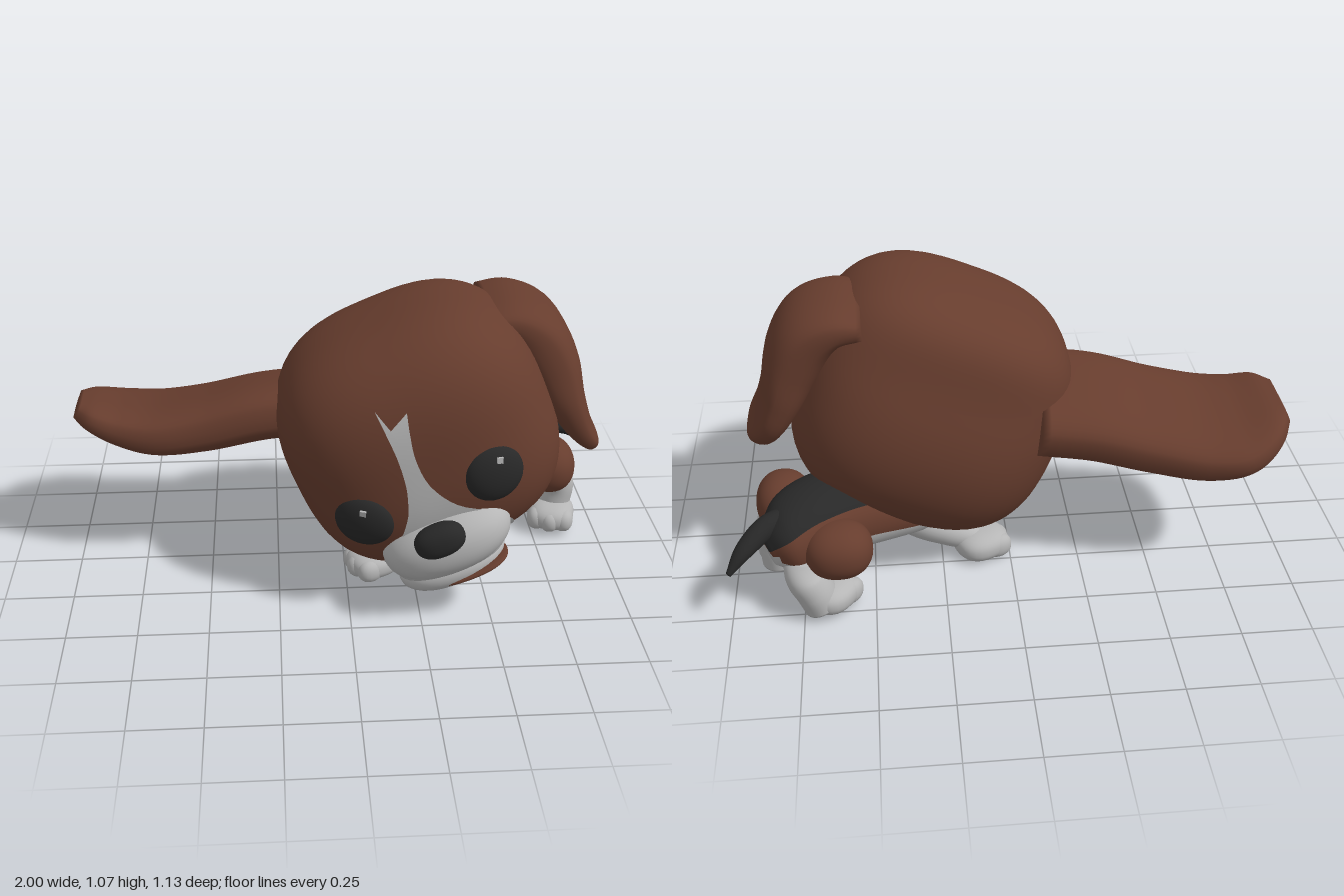
import * as THREE from 'three';
import { mergeVertices } from 'three/addons/utils/BufferGeometryUtils.js';

const paint = (name, color) => Object.assign(new THREE.MeshStandardMaterial({ color }), { name });

// Rounded blob: superellipsoid with half sizes a, b, c; floor flattens the underside
function blob(a, b, c, n = 2, floor = -Infinity, seg = 40) {
  let g = new THREE.SphereGeometry(1, seg, Math.round(seg * 0.7));
  g.deleteAttribute('uv');
  g.deleteAttribute('normal');
  const p = g.attributes.position;
  for (let i = 0; i < p.count; i++) {
    const x = p.getX(i), y = p.getY(i), z = p.getZ(i);
    const k = Math.pow(Math.abs(x) ** n + Math.abs(y) ** n + Math.abs(z) ** n, -1 / n);
    p.setXYZ(i, x * k * a, Math.max(y * k * b, floor), z * k * c);
  }
  g = mergeVertices(g, 1e-5);
  g.computeVertexNormals();
  return g;
}

// Skin over stations [x, y, z, halfWidth, halfThickness, tilt], width along side;
// pick() chooses a material per face
function loft(stations, side, n = 2, pick = () => 0, N = 40, M = 32) {
  const curve = k => new THREE.CatmullRomCurve3(
    stations.map(s => new THREE.Vector3(s[k], s[k + 1], s[k + 2] || 0)), false, 'catmullrom');
  const path = curve(0), size = curve(3);
  const pos = [], groups = [];
  const bend = v => Math.sign(v) * Math.abs(v) ** (2 / n);
  for (let i = 0; i <= N; i++) {
    const p = path.getPoint(i / N), q = size.getPoint(i / N), T = path.getTangent(i / N);
    const S = side.clone().normalize().applyAxisAngle(T, q.z);
    const U = new THREE.Vector3().crossVectors(T, S).normalize();
    for (let j = 0; j < M; j++) {
      const t = j / M * Math.PI * 2;
      const v = p.clone().addScaledVector(S, q.x * bend(Math.cos(t))).addScaledVector(U, q.y * bend(Math.sin(t)));
      pos.push(v.x, v.y, v.z);
    }
  }
  const first = pos.length / 3;
  pos.push(...stations[0].slice(0, 3), ...stations[stations.length - 1].slice(0, 3));
  const add = (u, j, ...tri) => {
    const m = pick(u, (j + 0.5) / M * Math.PI * 2);
    (groups[m] ||= []).push(...tri);
  };
  for (let j = 0; j < M; j++) {
    const k = (j + 1) % M;
    add(0, j, first, k, j);
    for (let i = 0; i < N; i++) {
      const a = i * M + j, b = i * M + k;
      add((i + 0.5) / N, j, a, b, a + M, b, b + M, a + M);
    }
    add(1, j, first + 1, N * M + j, N * M + k);
  }
  const g = new THREE.BufferGeometry();
  g.setAttribute('position', new THREE.Float32BufferAttribute(pos, 3));
  g.setIndex(groups.flat());
  let start = 0;
  groups.forEach((list, m) => { g.addGroup(start, list.length, m); start += list.length; });
  g.computeVertexNormals();
  return g;
}

export function createModel() {
  const brown = paint('brown fur', 0x673d2e), white = paint('white fur', 0xb6b6b6), black = paint('black fur', 0x282828);
  const root = new THREE.Group();
  root.name = 'puppy';
  const put = (name, geo, mat, parent = root, x = 0, y = 0, z = 0) => {
    const m = new THREE.Mesh(geo, mat);
    m.name = name;
    m.position.set(x, y, z);
    parent.add(m);
    return m;
  };
  const alongZ = new THREE.Vector3(0, 0, 1);

  // Tilted head, with the upper back drawn in
  const A = 0.485, B = 0.45, C = 0.437, P = 2.8, tilt = 0.4, cx = 0.265, cy = 0.58;
  const head = new THREE.Group();
  head.name = 'head';
  head.position.set(cx, cy, 0.025);
  head.rotation.z = tilt;
  root.add(head);
  const skull = blob(A, B, C, P, -Infinity, 64), sp = skull.attributes.position;
  for (let i = 0; i < sp.count; i++) {
    if (sp.getZ(i) < 0) sp.setZ(i, sp.getZ(i) * (1 - 0.12 * Math.exp(-(((sp.getY(i) - 0.22) / 0.18) ** 2))));
  }
  skull.computeVertexNormals();
  put('skull', skull, brown, head);

  // Front surface of the skull below an upright (x, y), in head space
  const onFace = (x, y) => {
    const dx = x - cx, dy = y - cy, c = Math.cos(tilt), s = Math.sin(tilt);
    const u = dx * c + dy * s, v = dy * c - dx * s;
    const w = Math.max(0.02, 1 - Math.abs(u / A) ** P - Math.abs(v / B) ** P);
    return new THREE.Vector3(u, v, C * w ** (1 / P));
  };

  // Blaze: rows of [y, left, right] laid on the face, with a notched top
  const rows = [[0.81, 0.08, 0.185], [0.74, 0.115, 0.195], [0.65, 0.155, 0.215], [0.55, 0.185, 0.265], [0.47, 0.195, 0.36],
    [0.42, 0.195, 0.5], [0.34, 0.18, 0.58], [0.26, 0.155, 0.57], [0.2, 0.135, 0.46], [0.14, 0.13, 0.34]];
  const rowCurve = new THREE.CatmullRomCurve3(rows.map(r => new THREE.Vector3(...r)));
  const R = 36, K = 12, pts = [], idx = [];
  for (let i = 0; i <= R; i++) {
    const r = rowCurve.getPoint(i / R);
    for (let j = 0; j <= K; j++) {
      const s = j / K;
      const notch = 0.06 * (1 - Math.abs(2 * s - 1)) * Math.max(0, 1 - i / 6);
      pts.push(...onFace(r.y + (r.z - r.y) * s, r.x - notch).multiplyScalar(1.008).toArray());
      if (i < R && j < K) {
        const a = i * (K + 1) + j, b = a + K + 1;
        idx.push(a, b, a + 1, a + 1, b, b + 1);
      }
    }
  }
  const blaze = new THREE.BufferGeometry();
  blaze.setAttribute('position', new THREE.Float32BufferAttribute(pts, 3));
  blaze.setIndex(idx);
  blaze.computeVertexNormals();
  put('blaze', blaze, white, head);

  // Eyes with small glints
  for (const [name, x, y] of [['rightEye', 0.045, 0.385], ['leftEye', 0.49, 0.575]]) {
    const p = onFace(x, y);
    const grad = new THREE.Vector3(
      Math.sign(p.x) * Math.abs(p.x / A) ** (P - 1) / A,
      Math.sign(p.y) * Math.abs(p.y / B) ** (P - 1) / B,
      (p.z / C) ** (P - 1) / C).normalize();
    const eye = new THREE.Group();
    eye.name = name;
    eye.position.copy(p).addScaledVector(grad, -0.018);
    eye.quaternion.setFromUnitVectors(alongZ, grad);
    head.add(eye);
    put('eyeball', blob(0.106, 0.106, 0.05), black, eye);
    put('glint', new THREE.BoxGeometry(0.022, 0.026, 0.008), white, eye, 0.028, 0.055, 0.039).rotation.z = -tilt;
  }

  // Muzzle, cheeks, jaw, mouth and nose
  const muzzle = new THREE.Group();
  muzzle.name = 'muzzle';
  muzzle.position.set(0.34, 0.3, 0.375);
  muzzle.rotation.z = tilt;
  root.add(muzzle);
  put('upperMuzzle', blob(0.235, 0.125, 0.155, 2.2), white, muzzle);
  put('cheeks', blob(0.22, 0.11, 0.155, 2.2), white, muzzle, -0.01, -0.055, -0.045);
  put('lowerJaw', blob(0.2, 0.068, 0.145, 2.2), white, muzzle, -0.02, -0.12, -0.04);
  put('mouth', blob(0.15, 0.017, 0.1, 2.4), brown, muzzle, 0.03, -0.14, 0.01);
  put('nose', blob(0.09, 0.06, 0.052, 2.3), black, muzzle, -0.013, 0.073, 0.135);

  // Ears: one flung out to the side, one folded over and hanging
  put('rightEar', loft([
    [-0.1, 0.6, -0.12, 0.24, 0.105, 0.22], [-0.3, 0.575, -0.13, 0.245, 0.105, 0.22], [-0.5, 0.525, -0.15, 0.25, 0.1, 0.2],
    [-0.68, 0.497, -0.175, 0.26, 0.09, 0.18], [-0.82, 0.51, -0.195, 0.245, 0.075, 0.18],
    [-0.93, 0.555, -0.18, 0.19, 0.055, 0.17], [-0.985, 0.58, -0.17, 0.11, 0.035, 0.15]], alongZ, 2.8), [brown]);
  put('leftEar', loft([
    [0.5, 0.97, -0.07, 0.2, 0.05], [0.6, 0.965, -0.07, 0.21, 0.075], [0.685, 0.91, -0.06, 0.22, 0.1],
    [0.745, 0.81, -0.05, 0.23, 0.1], [0.79, 0.69, -0.04, 0.24, 0.08], [0.845, 0.58, -0.035, 0.22, 0.058],
    [0.9, 0.505, -0.005, 0.15, 0.038], [0.927, 0.47, 0.02, 0.06, 0.015]], alongZ, 2.8), [brown]);

  // Body: white belly, brown flanks, black saddle
  const coat = (u, t) => {
    const s = Math.sin(t);
    if (s > (Math.cos(t) < 0 ? 0.25 : 0) || (u > 0.95 && s > -0.2)) return 1;
    return s < -0.5 && u > 0.45 ? 2 : 0;
  };
  put('body', loft([
    [0.1, 0.17, 0, 0.1, 0.06], [0.22, 0.19, -0.02, 0.17, 0.1], [0.4, 0.215, -0.1, 0.185, 0.125], [0.58, 0.25, -0.21, 0.165, 0.145],
    [0.72, 0.265, -0.31, 0.16, 0.14], [0.81, 0.245, -0.39, 0.13, 0.115], [0.86, 0.23, -0.43, 0.05, 0.05]],
  new THREE.Vector3(0.4, 0, 0.9), 2.2, coat), [brown, white, black]);
  put('tail', loft([
    [0.76, 0.33, -0.36, 0.045, 0.045], [0.86, 0.32, -0.41, 0.042, 0.042], [0.94, 0.27, -0.47, 0.034, 0.03],
    [0.995, 0.205, -0.515, 0.01, 0.01]], new THREE.Vector3(0.5, 0, 0.85)), [black]);

  // Paw with three soft toes, facing the given angle
  const paw = (name, x, y, z, angle) => {
    const g = new THREE.Group();
    g.name = name;
    g.position.set(x, y, z);
    g.rotation.y = angle;
    root.add(g);
    put('pad', blob(0.09, 0.055, 0.1, 2.5, -0.045, 28), white, g, 0, 0.045, 0);
    for (const t of [-1, 0, 1]) {
      put('toe', blob(0.038, 0.045, 0.05, 2.3, -0.04, 20), white, g, t * 0.052, 0.04, 0.058 - Math.abs(t) * 0.014);
    }
  };

  // Front legs stretched forward
  for (const [side, z, dz] of [['left', 0.13, -0.07], ['right', -0.19, 0.03]]) {
    put(side + 'FrontLeg', loft([
      [0.42, 0.17, z + dz * 1.5, 0.06, 0.06], [0.32, 0.135, z + dz * 1.1, 0.08, 0.07], [0.24, 0.105, z + dz * 0.7, 0.075, 0.065],
      [0.17, 0.075, z + dz * 0.4, 0.06, 0.055], [0.1, 0.055, z, 0.04, 0.035]], alongZ), [white]);
    paw(side + 'FrontPaw', 0.105, 0, z, -1.1);
  }

  // Hind legs: brown haunch, white shank, paw
  const hind = (side, haunch, size, shank, foot, angle) => {
    put(side + 'Haunch', blob(...size, 2.2), brown, root, ...haunch);
    put(side + 'HindLeg', loft(shank.map(p => [...p, 0.08, 0.07]), alongZ), [white]);
    paw(side + 'HindPaw', ...foot, angle);
  };
  hind('left', [0.815, 0.265, -0.175], [0.1, 0.105, 0.125],
    [[0.82, 0.24, -0.17], [0.855, 0.17, -0.195], [0.85, 0.1, -0.2], [0.845, 0.02, -0.195]], [0.835, 0.015, -0.15], -0.25);
  hind('right', [0.62, 0.24, -0.45], [0.12, 0.1, 0.11],
    [[0.74, 0.22, -0.43], [0.74, 0.16, -0.475], [0.71, 0.1, -0.485], [0.685, 0.035, -0.48]], [0.655, 0.015, -0.455], -0.6);
  return root;
}
